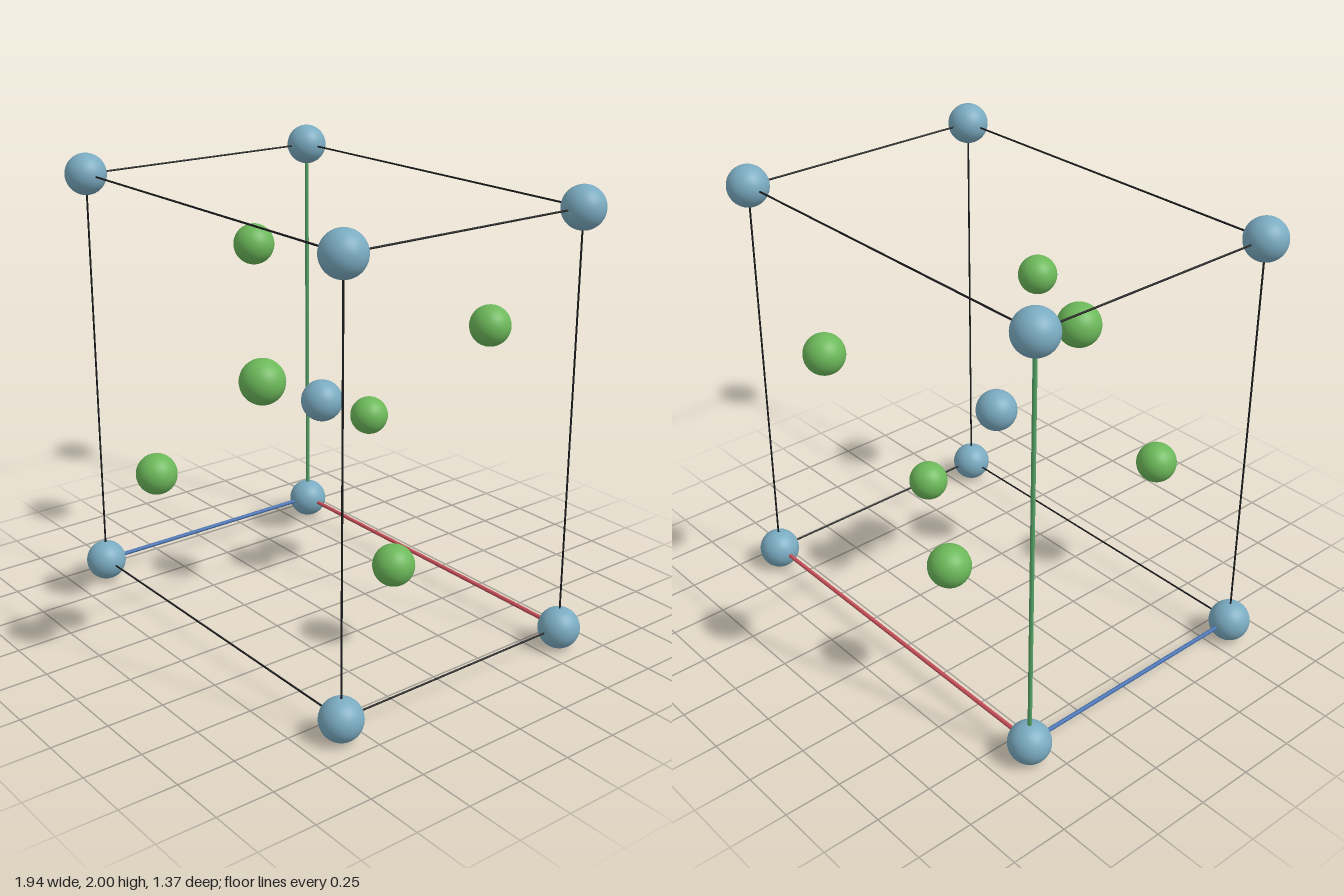
import * as THREE from 'three';

export function createModel() {
  const model = new THREE.Group();
  model.name = 'crystalUnitCell';

  const mat = (name, color) => {
    const m = new THREE.MeshStandardMaterial({ color });
    m.name = name;
    return m;
  };
  const blueAtom = mat('pale blue', 0x7aabc1);
  const greenAtom = mat('leaf green', 0x6cb85a);
  const edgeMat = mat('near black', 0x1c1c1e);
  const axisMats = [mat('axis red', 0xc8505a), mat('axis green', 0x55a468), mat('axis blue', 0x4470b0)];

  // Half sizes of the cell, whose centre is at y = 1
  const half = [0.882, 0.91, 0.594];
  const R = 0.09;
  const place = (p) => new THREE.Vector3(p[0], p[1] + 1, p[2]);

  // Atoms
  const ball = new THREE.SphereGeometry(R, 40, 28);
  const atom = (name, material, p) => {
    const m = new THREE.Mesh(ball, material);
    m.name = name;
    m.position.copy(place(p));
    model.add(m);
  };
  for (const x of [-1, 1]) for (const y of [-1, 1]) for (const z of [-1, 1]) {
    atom('cornerAtom', blueAtom, [x * half[0], y * half[1], z * half[2]]);
  }
  atom('centreAtom', blueAtom, [0, 0, 0]);
  for (const s of [-1, 1]) {
    atom('innerAtom', greenAtom, [-s * 0.486, s * 0.591, 0]);
    for (const z of [-1, 1]) atom('faceAtom', greenAtom, [s * 0.397, s * 0.318, z * half[2]]);
  }

  // Cell edges: the three meeting at the lower back corner are coloured axes
  const up = new THREE.Vector3(0, 1, 0);
  const rod = (name, material, r, a, b) => {
    const dir = b.clone().sub(a);
    const m = new THREE.Mesh(new THREE.CylinderGeometry(r, r, dir.length(), 12), material);
    m.name = name;
    m.position.copy(a).lerp(b, 0.5);
    m.quaternion.setFromUnitVectors(up, dir.normalize());
    model.add(m);
  };
  const axisNames = ['xAxis', 'yAxis', 'zAxis'];
  for (let i = 0; i < 3; i++) {
    const j = (i + 1) % 3, k = (i + 2) % 3;
    for (const sj of [-1, 1]) for (const sk of [-1, 1]) {
      const a = [];
      a[i] = -half[i];
      a[j] = sj * half[j];
      a[k] = sk * half[k];
      const b = a.slice();
      b[i] = half[i];
      const isAxis = sj < 0 && sk < 0;
      rod(isAxis ? axisNames[i] : 'cellEdge', isAxis ? axisMats[i] : edgeMat,
        isAxis ? 0.009 : 0.004, place(a), place(b));
    }
  }
  return model;
}
